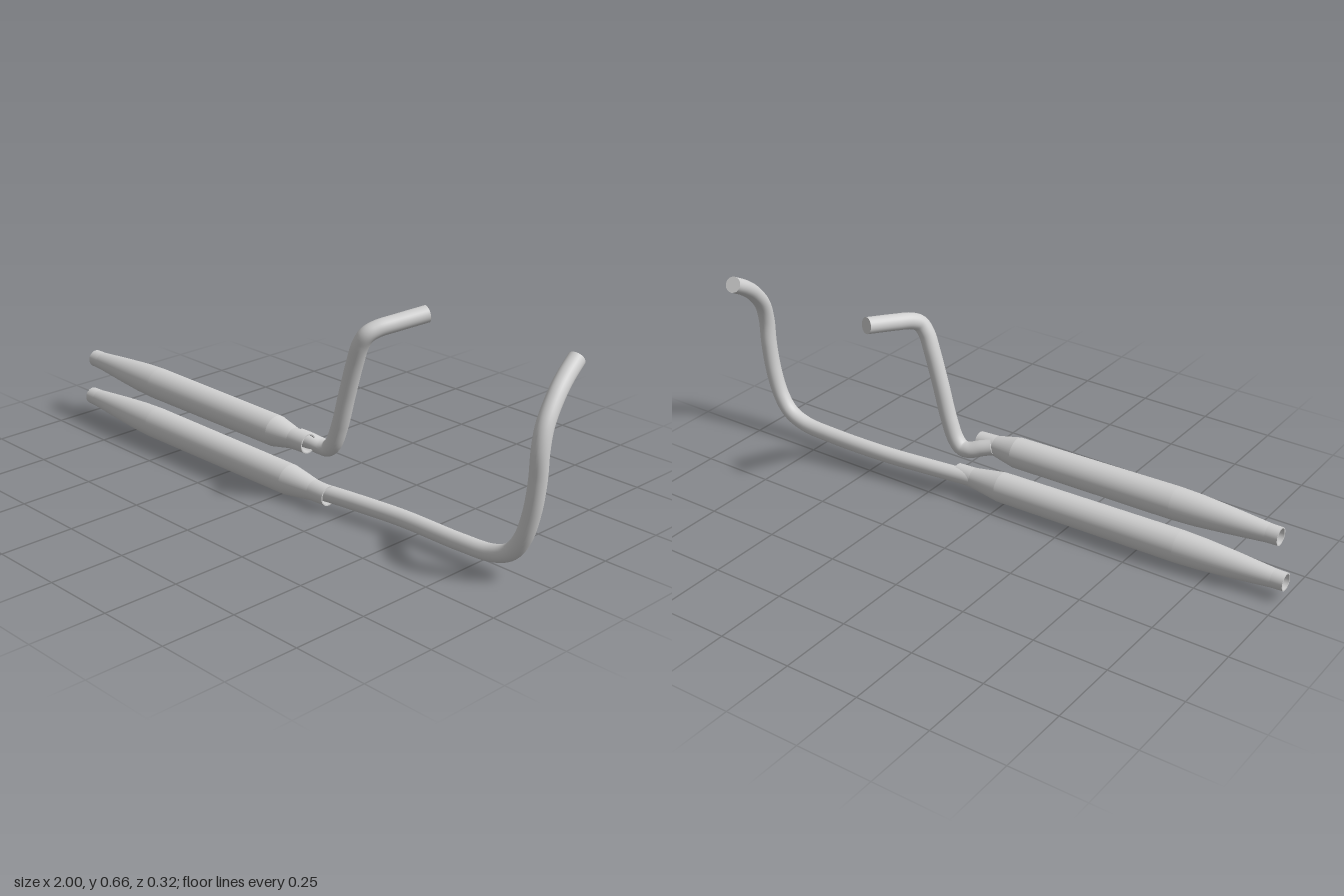
import * as THREE from 'three';

const V = (p) => new THREE.Vector3(...p);

export function createModel() {
  const group = new THREE.Group();
  group.name = 'twinExhaust';
  const steel = new THREE.MeshStandardMaterial({ color: 0xd0d0d0, side: THREE.DoubleSide });
  steel.name = 'brushed steel';

  const add = (name, geometry, parent) => {
    const mesh = new THREE.Mesh(geometry, steel);
    mesh.name = name;
    parent.add(mesh);
    return mesh;
  };

  // Hollow silencer: each section is its own lathe so the seams stay crisp
  function silencer(name, tail, front, sections) {
    const part = new THREE.Group();
    part.name = name;
    const start = V(tail);
    const axis = V(front).sub(start);
    for (const [label, ...points] of sections) {
      add(label, new THREE.LatheGeometry(points.map(([r, t]) => new THREE.Vector2(r, t)), 40), part);
    }
    part.position.copy(start);
    part.quaternion.setFromUnitVectors(new THREE.Vector3(0, 1, 0), axis.normalize());
    group.add(part);
  }

  // Outer skin, rolled lips and inner walls; distances run from the tail tip
  const sections = (bodyStart, bodyEnd, sleeve, end) => [
    ['tailTip', [0.029, 0], [0.030, 0.04]],
    ['tailCone', [0.030, 0.04], [0.042, 0.17], [0.050, bodyStart - 0.05], [0.053, bodyStart + 0.03]],
    ['barrel', [0.053, bodyStart + 0.03], [0.0505, bodyEnd]],
    ['frontCone', [0.0505, bodyEnd], [0.034, sleeve]],
    ['sleeve', [0.034, sleeve], [0.032, end]],
    ['tailLip', [0.025, 0], [0.029, 0]],
    ['tailBore', [0.025, 0], [0.025, 0.2]],
    ['tailBaffle', [0, 0.2], [0.025, 0.2]],
    ['sleeveLip', [0.028, end], [0.032, end]],
    ['sleeveBore', [0.028, end - 0.12], [0.028, end]],
    ['sleeveBaffle', [0, end - 0.12], [0.028, end - 0.12]],
  ];
  silencer('lowerSilencer', [-1, 0.063, 0.108], [0.195, 0.054, 0.092], sections(0.33, 1.02, 1.13, 1.195));
  silencer('upperSilencer', [-0.97, 0.212, 0.108], [0.105, 0.203, 0.093], sections(0.32, 0.93, 1.01, 1.075));

  // Bent header pipe with flat closed ends
  function pipe(name, points, radius) {
    const part = new THREE.Group();
    part.name = name;
    const curve = new THREE.CatmullRomCurve3(points.map(V));
    add('bentTube', new THREE.TubeGeometry(curve, 120, radius, 28), part);
    for (const t of [0, 1]) {
      const cap = add('endCap', new THREE.CircleGeometry(radius, 28), part);
      cap.position.copy(curve.getPointAt(t));
      const out = curve.getTangentAt(t).multiplyScalar(t ? 1 : -1);
      cap.quaternion.setFromUnitVectors(new THREE.Vector3(0, 0, 1), out);
    }
    group.add(part);
  }
  pipe('lowerHeaderPipe', [
    [0.13, 0.054, 0.086], [0.3, 0.056, 0.064], [0.47, 0.057, 0.047], [0.7, 0.058, 0.045],
    [0.82, 0.067, 0.045], [0.885, 0.095, 0.045], [0.925, 0.15, 0.045], [0.953, 0.24, 0.045],
    [0.967, 0.34, 0.045], [0.97, 0.43, 0.044], [0.965, 0.495, 0.024], [0.953, 0.56, -0.03],
    [0.941, 0.602, -0.085], [0.929, 0.638, -0.148],
  ], 0.027);
  pipe('upperHeaderPipe', [
    [0.045, 0.206, 0.078], [0.08, 0.197, 0.062], [0.115, 0.186, 0.048], [0.143, 0.187, 0.045],
    [0.168, 0.212, 0.045], [0.195, 0.28, 0.045], [0.225, 0.39, 0.045], [0.257, 0.5, 0.045],
    [0.279, 0.562, 0.045], [0.297, 0.595, 0.036], [0.312, 0.611, 0.008], [0.335, 0.622, -0.05],
    [0.37, 0.637, -0.145],
  ], 0.027);

  return group;
}
